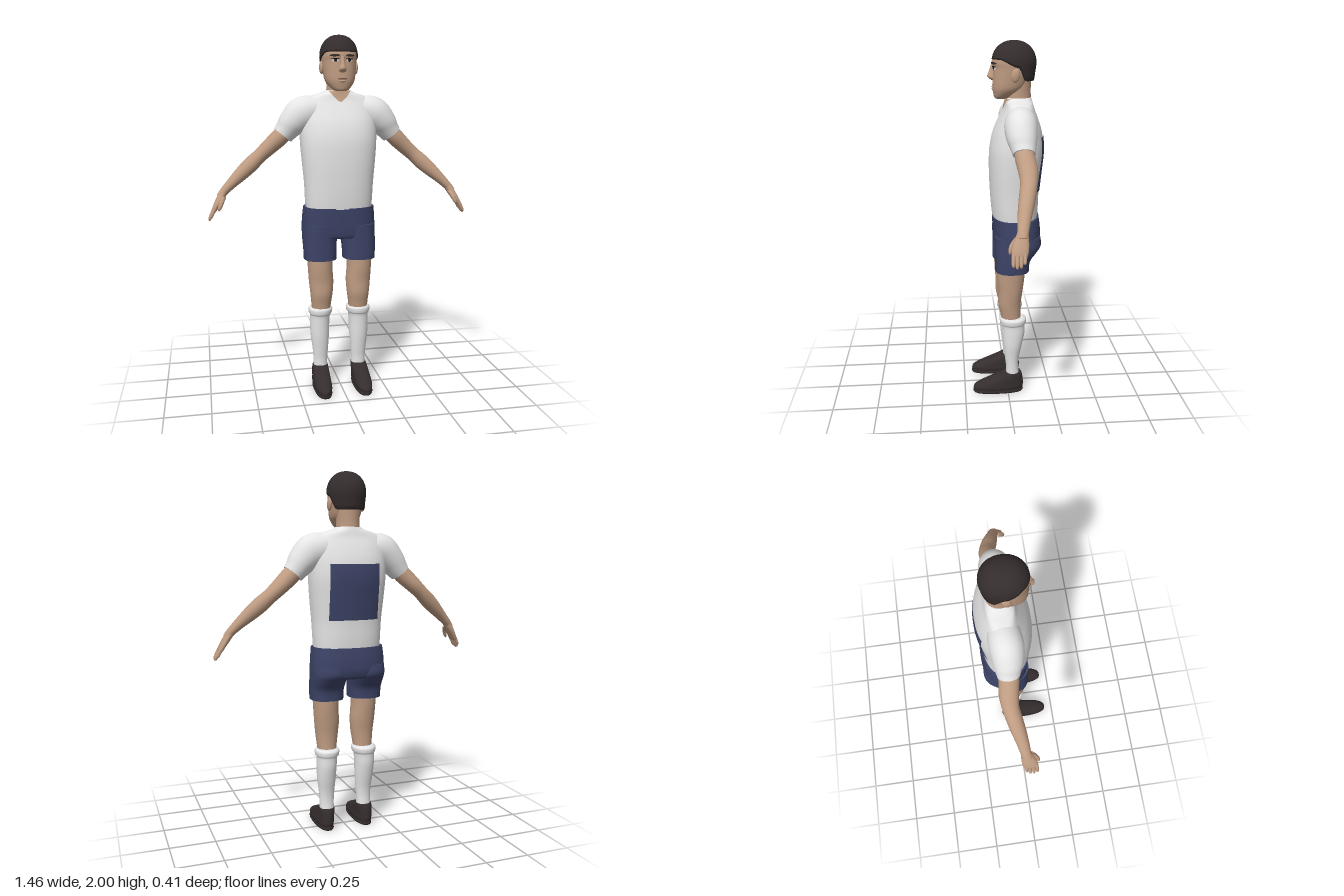
import * as THREE from 'three';

const mat = (name, color) => {
  const m = new THREE.MeshStandardMaterial({ color });
  m.name = name;
  return m;
};

// Catmull-Rom resampling of rows of numbers
function smooth(rows, n = 5) {
  const out = [];
  for (let i = 0; i < rows.length - 1; i++) {
    const [a, b, c, d] = [rows[Math.max(i - 1, 0)], rows[i], rows[i + 1], rows[Math.min(i + 2, rows.length - 1)]];
    for (let k = 0; k < n; k++) {
      const t = k / n;
      out.push(b.map((_, j) => b[j] + 0.5 * t * (c[j] - a[j] + t * (2 * a[j] - 5 * b[j] + 4 * c[j] - d[j]
        + t * (3 * (b[j] - c[j]) + d[j] - a[j])))));
    }
  }
  out.push(rows[rows.length - 1]);
  return out;
}

// Skin closed rings and cap both ends; winding is turned outward by signed volume
function skin(rings) {
  const n = rings[0].length, pts = rings.flat(), idx = [];
  for (let i = 0; i < rings.length - 1; i++)
    for (let j = 0; j < n; j++) {
      const a = i * n + j, b = i * n + (j + 1) % n;
      idx.push(a, b, a + n, b, b + n, a + n);
    }
  [rings[0], rings[rings.length - 1]].forEach((ring, e) => {
    const s = pts.length, mid = ring.reduce((m, p) => m.add(p), new THREE.Vector3()).divideScalar(n);
    pts.push(...ring, mid);
    for (let j = 0; j < n; j++) {
      const a = s + j, b = s + (j + 1) % n;
      e ? idx.push(a, b, s + n) : idx.push(b, a, s + n);
    }
  });
  let vol = 0;
  const cross = new THREE.Vector3();
  for (let i = 0; i < idx.length; i += 3)
    vol += pts[idx[i]].dot(cross.crossVectors(pts[idx[i + 1]], pts[idx[i + 2]]));
  if (vol < 0) idx.reverse();
  const g = new THREE.BufferGeometry().setFromPoints(pts);
  g.setIndex(idx);
  g.computeVertexNormals();
  return g;
}

// Superellipse unit point
const unit = (a, p) => [Math.cos(a), Math.sin(a)].map(v => Math.sign(v) * Math.abs(v) ** (2 / p));

// Upright form from rows [y, centre x, half width, front z, back z]
const upright = (rows, p = 2.3, seg = 36) => skin(rows.map(([y, cx, rx, zf, zb]) =>
  Array.from({ length: seg }, (_, j) => {
    const [c, s] = unit(j / seg * Math.PI * 2, p);
    return new THREE.Vector3(cx + rx * c, y, (zf + zb) / 2 + (zf - zb) / 2 * s);
  })));

// Limb along rows [x, y, z, thickness radius, depth radius]
const limb = (rows, seg = 20) => skin(rows.map(([x, y, z, ra, rb], i) => {
  const a = rows[Math.max(i - 1, 0)], b = rows[Math.min(i + 1, rows.length - 1)];
  const l = Math.hypot(b[0] - a[0], b[1] - a[1]), ux = -(b[1] - a[1]) / l, uy = (b[0] - a[0]) / l;
  return Array.from({ length: seg }, (_, j) => {
    const [c, s] = unit(j / seg * Math.PI * 2, 2);
    return new THREE.Vector3(x + ux * ra * c, y + uy * ra * c, z + rb * s);
  });
}));

// Thin patch hugging an upright form; span(t) gives [x0, x1] from bottom to top
function patch(rows, p, dir, y0, y1, span, lift = 0.004, n = 16) {
  const pts = [], idx = [];
  for (let i = 0; i <= n; i++) {
    const y = y0 + (y1 - y0) * i / n, [x0, x1] = span(i / n);
    const k = Math.max(1, rows.findIndex(r => r[0] >= y)), a = rows[k - 1], b = rows[k];
    const r = a.map((v, j) => v + (b[j] - v) * (y - a[0]) / (b[0] - a[0]));
    for (let j = 0; j <= n; j++) {
      const x = x0 + (x1 - x0) * j / n, q = Math.min(1, Math.abs((x - r[1]) / r[2]));
      pts.push(new THREE.Vector3(x, y, (r[3] + r[4]) / 2 + dir * ((r[3] - r[4]) / 2 * (1 - q ** p) ** (1 / p) + lift)));
    }
  }
  for (let i = 0; i < n; i++)
    for (let j = 0; j < n; j++) {
      const a = i * (n + 1) + j, c = a + n + 1;
      idx.push(...(dir > 0 ? [a, a + 1, c, a + 1, c + 1, c] : [a, c, a + 1, a + 1, c, c + 1]));
    }
  const g = new THREE.BufferGeometry().setFromPoints(pts);
  g.setIndex(idx);
  g.computeVertexNormals();
  return g;
}
const oval = (cx, r) => t => {
  const w = r * Math.sqrt(Math.max(0.0004, 1 - (2 * t - 1) ** 2));
  return [cx - w, cx + w];
};

export function createModel() {
  const model = new THREE.Group();
  const M = {
    skin: mat('skin', 0xbf9c82), shirt: mat('white cloth', 0xe6e6e6), navy: mat('navy cloth', 0x3c4366),
    hair: mat('dark hair', 0x352d2d), shoe: mat('shoe leather', 0x362e2e), eye: mat('eye white', 0xd8d2cc),
    pupil: mat('pupil', 0x1e1816), lip: mat('lip', 0x80574b),
  };
  const add = (name, geo, m) => {
    const mesh = new THREE.Mesh(geo, m);
    mesh.name = name;
    model.add(mesh);
    return mesh;
  };

  // Shirt, back panel and open neckline
  const torso = smooth([
    [1.03, 0, 0.186, 0.075, -0.168], [1.1, 0, 0.191, 0.083, -0.174], [1.2, 0, 0.196, 0.09, -0.178],
    [1.32, 0, 0.207, 0.094, -0.19], [1.43, 0, 0.215, 0.09, -0.2], [1.52, 0, 0.214, 0.07, -0.192],
    [1.59, 0, 0.208, 0.04, -0.172], [1.645, 0, 0.19, 0.014, -0.15], [1.675, 0, 0.145, 0.005, -0.142],
    [1.69, 0, 0.095, 0.002, -0.138], [1.705, 0, 0.066, 0, -0.133]]);
  add('shirt', upright(torso, 2.4, 48), M.shirt);
  add('backPanel', patch(torso, 2.4, -1, 1.21, 1.51, () => [-0.14, 0.14]), M.navy);
  add('neckline', patch(torso, 2.4, 1, 1.64, 1.702, t => [-0.062 * t ** 0.7, 0.062 * t ** 0.7], 0.005), M.skin);
  add('neck', upright(smooth([[1.62, 0, 0.07, -0.005, -0.13], [1.7, 0, 0.064, 0.002, -0.133],
    [1.75, 0, 0.064, 0, -0.132], [1.85, 0, 0.07, 0, -0.135]]), 2), M.skin);

  // Head
  const head = smooth([
    [1.698, 0, 0.022, 0.052, 0.005], [1.706, 0, 0.042, 0.063, -0.02], [1.73, 0, 0.065, 0.069, -0.06],
    [1.76, 0, 0.082, 0.073, -0.1], [1.81, 0, 0.09, 0.072, -0.125], [1.86, 0, 0.095, 0.07, -0.142],
    [1.89, 0, 0.096, 0.076, -0.147], [1.93, 0, 0.092, 0.062, -0.14], [1.97, 0, 0.06, 0.02, -0.1]]);
  add('head', upright(head, 2.2), M.skin);
  add('nose', upright(smooth([[1.795, 0, 0.01, 0.075, 0.05], [1.805, 0, 0.02, 0.09, 0.05], [1.818, 0, 0.02, 0.1, 0.05],
    [1.845, 0, 0.013, 0.09, 0.05], [1.885, 0, 0.011, 0.077, 0.05]]), 2, 16), M.skin);
  add('mouth', patch(head, 2.2, 1, 1.759, 1.767, oval(0, 0.028)), M.lip);
  add('lowerLip', upright(smooth([[1.742, 0, 0.012, 0.07, 0.05], [1.75, 0, 0.022, 0.077, 0.05], [1.758, 0, 0.022, 0.074, 0.05]]), 2, 16), M.skin);

  // Hair cap with a hairline low at the back and high over the forehead
  const hair = [];
  for (let i = -1; i <= 14; i++) hair.push(Array.from({ length: 48 }, (_, j) => {
    const [c, s] = unit(j / 48 * Math.PI * 2, 2.1);
    const line = s > 0 ? 1.868 + 0.037 * Math.min(1, s * 1.6) : 1.868 - 0.073 * THREE.MathUtils.smoothstep(-s, 0.1, 0.6);
    const y = line + (2 - line) * Math.sin(Math.max(i, 0) / 14 * Math.PI / 2);
    const f = (y > 1.88 ? Math.max(0, 1 - ((y - 1.88) / 0.12) ** 2.2) ** (1 / 2.2) : 1 - 1.2 * (1.88 - y)) * (i < 0 ? 0.88 : 1);
    return new THREE.Vector3(0.105 * f * c, y, -0.042 + 0.119 * f * s);
  }));
  add('hair', skin(hair), M.hair);

  // Shorts seat
  add('shortsSeat', upright(smooth([[0.885, 0, 0.2, 0.06, -0.165], [0.9, 0, 0.208, 0.068, -0.178], [0.94, 0, 0.209, 0.073, -0.188],
    [1.0, 0, 0.206, 0.076, -0.186], [1.058, 0, 0.2, 0.078, -0.178]]), 2.6, 44), M.navy);

  for (const s of [1, -1]) {
    const side = s > 0 ? 'left' : 'right';
    const up = (name, rows, m, p) => add(side + name, upright(smooth(rows.map(([y, x, ...r]) => [y, s * x, ...r])), p), m);
    const arm = (name, rows, m, seg) => add(side + name, limb(smooth(rows.map(([x, ...r]) => [s * x, ...r])), seg), m);

    // Face details
    add(side + 'Eye', patch(head, 2.2, 1, 1.852, 1.868, oval(s * 0.039, 0.018)), M.eye);
    add(side + 'Pupil', patch(head, 2.2, 1, 1.852, 1.868, oval(s * 0.038, 0.008), 0.006), M.pupil);
    add(side + 'Lash', patch(head, 2.2, 1, 1.865, 1.871, oval(s * 0.039, 0.021), 0.006), M.pupil);
    add(side + 'Brow', patch(head, 2.2, 1, 1.88, 1.892, oval(s * 0.042, 0.026), 0.006), M.hair);
    const ear = add(side + 'Ear', new THREE.SphereGeometry(1, 16, 12), M.skin);
    ear.scale.set(0.012, 0.036, 0.023);
    ear.position.set(s * 0.096, 1.826, -0.042);
    ear.rotation.x = -0.15;

    // Sleeve, arm and hand
    arm('Sleeve', [[0.1, 1.59, -0.066, 0.075, 0.075], [0.15, 1.588, -0.064, 0.088, 0.084], [0.205, 1.572, -0.06, 0.094, 0.086],
      [0.258, 1.525, -0.06, 0.079, 0.078], [0.29, 1.485, -0.064, 0.065, 0.066], [0.312, 1.458, -0.066, 0.058, 0.058]], M.shirt, 28);
    arm('Arm', [[0.28, 1.495, -0.066, 0.045, 0.048], [0.33, 1.445, -0.068, 0.049, 0.052], [0.39, 1.39, -0.077, 0.044, 0.05],
      [0.44, 1.345, -0.076, 0.04, 0.044], [0.49, 1.3, -0.065, 0.043, 0.043], [0.54, 1.255, -0.052, 0.039, 0.04],
      [0.6, 1.2, -0.036, 0.029, 0.033], [0.645, 1.155, -0.026, 0.023, 0.028], [0.665, 1.13, -0.02, 0.02, 0.028]], M.skin);
    arm('Palm', [[0.64, 1.16, -0.026, 0.021, 0.026], [0.662, 1.125, -0.018, 0.02, 0.035], [0.683, 1.09, -0.01, 0.017, 0.041],
      [0.698, 1.06, -0.006, 0.013, 0.038], [0.701, 1.052, -0.005, 0.006, 0.03]], M.skin);
    [[0.022, 0.9], [0.004, 1], [-0.015, 0.95], [-0.033, 0.75]].forEach(([z, k], i) => arm('Finger' + (i + 1), [
      [0.69, 1.078, z, 0.011, 0.011], [0.69 + 0.02 * k, 1.078 - 0.036 * k, z + 0.003, 0.01, 0.01],
      [0.69 + 0.033 * k, 1.078 - 0.064 * k, z + 0.004, 0.008, 0.008], [0.69 + 0.035 * k, 1.078 - 0.074 * k, z + 0.004, 0.002, 0.002]], M.skin, 10));
    arm('Thumb', [[0.645, 1.135, 0.0, 0.014, 0.014], [0.658, 1.105, 0.026, 0.013, 0.012],
      [0.67, 1.075, 0.037, 0.01, 0.009], [0.675, 1.06, 0.039, 0.002, 0.002]], M.skin, 10);

    // Shorts leg, bare leg, sock and shoe
    up('ShortsLeg', [[0.76, 0.112, 0.092, 0.07, -0.118], [0.82, 0.112, 0.094, 0.07, -0.125], [0.87, 0.111, 0.097, 0.07, -0.16],
      [0.91, 0.108, 0.1, 0.071, -0.184], [0.96, 0.106, 0.1, 0.072, -0.18]], M.navy, 2.4);
    up('Leg', [[0.43, 0.108, 0.05, 0.03, -0.075], [0.5, 0.108, 0.057, 0.042, -0.073], [0.56, 0.107, 0.064, 0.054, -0.075],
      [0.63, 0.108, 0.07, 0.054, -0.084], [0.71, 0.113, 0.07, 0.06, -0.093], [0.82, 0.115, 0.075, 0.06, -0.1]], M.skin, 2.1);
    up('Sock', [[0.1, 0.113, 0.041, 0.01, -0.068], [0.16, 0.113, 0.041, 0.01, -0.062], [0.22, 0.113, 0.045, 0.017, -0.066],
      [0.3, 0.115, 0.053, 0.026, -0.083], [0.37, 0.115, 0.056, 0.03, -0.096], [0.425, 0.113, 0.058, 0.034, -0.098],
      [0.438, 0.112, 0.066, 0.043, -0.104], [0.462, 0.111, 0.069, 0.046, -0.105], [0.474, 0.11, 0.06, 0.04, -0.09]], M.shirt, 2.1);
    up('Sole', [[0, 0.117, 0.046, 0.198, -0.086], [0.008, 0.117, 0.05, 0.203, -0.09], [0.018, 0.117, 0.049, 0.202, -0.089]], M.shoe, 2.4);
    up('Shoe', [[0.015, 0.117, 0.046, 0.198, -0.084], [0.035, 0.117, 0.051, 0.2, -0.09], [0.055, 0.117, 0.05, 0.178, -0.09],
      [0.085, 0.116, 0.048, 0.11, -0.087], [0.108, 0.115, 0.046, 0.052, -0.082], [0.122, 0.114, 0.043, 0.025, -0.076]], M.shoe, 2.3);
  }
  return model;
}
